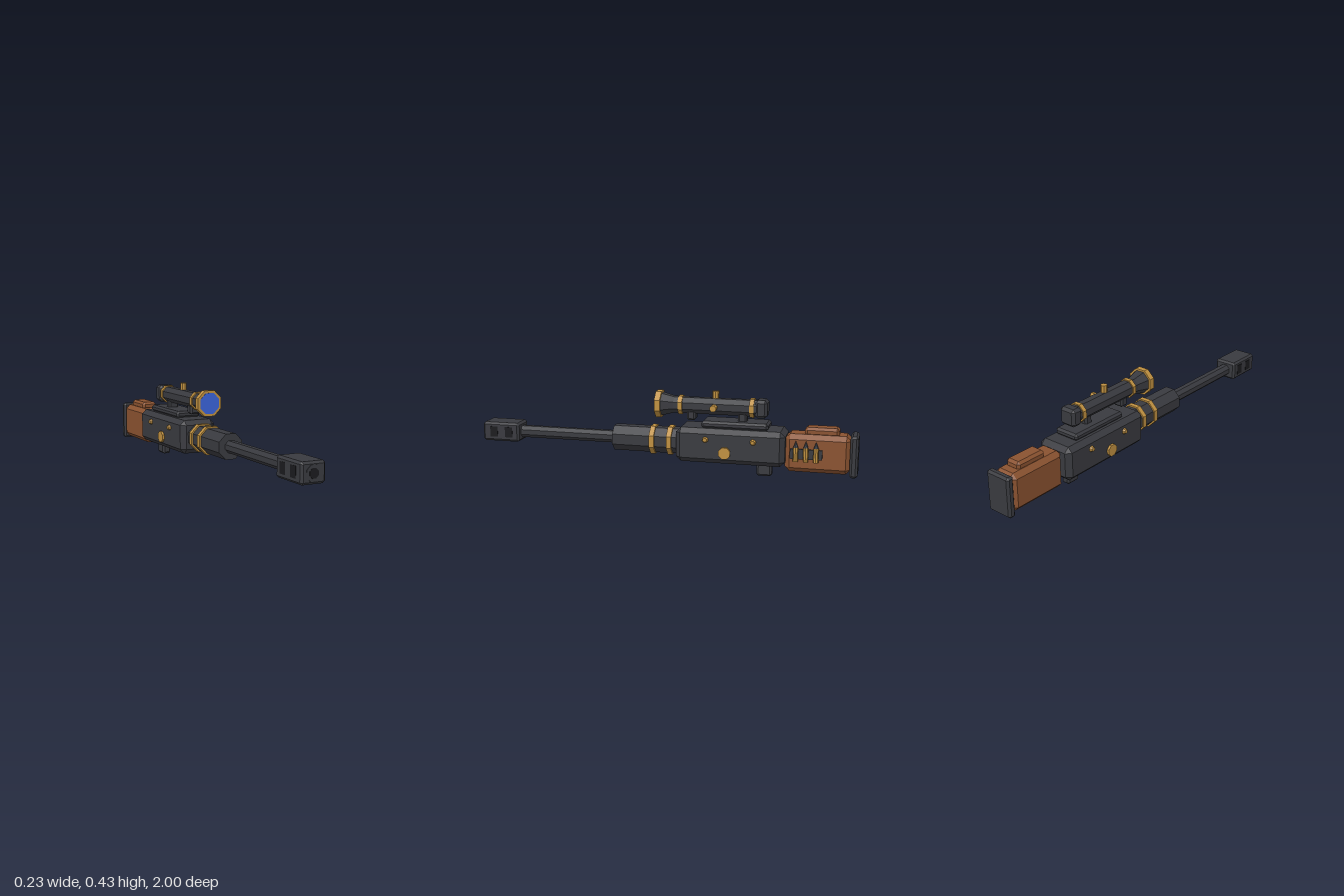
import * as THREE from 'three';
import { ConvexGeometry } from 'three/addons/geometries/ConvexGeometry.js';

const material = (color) => new THREE.MeshStandardMaterial({ color, flatShading: true, roughness: 0.8 });
const STEP = Math.PI / 8;

export function createModel() {
  const model = new THREE.Group();
  const dark = material(0x393a3f);
  const black = material(0x1b1b1e);
  const gold = material(0xbf9040);
  const wood = material(0x8a5230);
  const blue = material(0x3a63d8);
  const steel = material(0x4a4f58);

  function add(name, geometry, mat) {
    const mesh = new THREE.Mesh(geometry, mat);
    mesh.name = name;
    model.add(mesh);
    return mesh;
  }

  // Box with all edges cut at 45 degrees, given by its limits on each axis
  function block(name, mat, [x0, x1], [y0, y1], [z0, z1], c) {
    const half = [(x1 - x0) / 2, (y1 - y0) / 2, (z1 - z0) / 2];
    const points = [];
    for (const sx of [-1, 1]) for (const sy of [-1, 1]) for (const sz of [-1, 1]) {
      for (let axis = 0; axis < 3; axis++) {
        const [a, b, d] = half.map((h, i) => (i === axis ? h : h - c));
        points.push(new THREE.Vector3(sx * a, sy * b, sz * d));
      }
    }
    const mesh = add(name, new ConvexGeometry(points), mat);
    mesh.position.set((x0 + x1) / 2, (y0 + y1) / 2, (z0 + z1) / 2);
    return mesh;
  }

  // Octagonal prism along z, sized across its flats
  function octagon(name, mat, y, z0, z1, back, front = back) {
    const k = 1 / Math.cos(STEP);
    const g = new THREE.CylinderGeometry(front * k, back * k, z1 - z0, 8);
    g.rotateY(STEP).rotateX(Math.PI / 2).translate(0, y, (z0 + z1) / 2);
    return add(name, g, mat);
  }

  // Short stud pointing out along x on the given side
  function stud(name, side, x0, x1, y, z, rIn, rOut) {
    const g = new THREE.CylinderGeometry(rOut, rIn, x1 - x0, 8);
    g.rotateY(STEP).rotateZ(-side * Math.PI / 2).translate(side * (x0 + x1) / 2, y, z);
    return add(name, g, gold);
  }

  // Muzzle brake with side ports and bore
  const axisY = 0.158;
  block('muzzleBrake', dark, [-0.064, 0.064], [0.108, 0.21], [0.79, 0.997], 0.011);
  octagon('muzzleRim', dark, axisY, 0.95, 0.999, 0.038);
  octagon('bore', black, axisY, 0.95, 1.0, 0.023);
  for (const side of [-1, 1]) for (const z of [0.933, 0.848]) {
    const port = add('muzzlePort', new THREE.BoxGeometry(0.01, 0.056, 0.043), black);
    port.position.set(side * 0.0605, 0.16, z);
  }

  // Barrel and handguard
  octagon('barrel', dark, axisY, 0.24, 0.81, 0.031);
  octagon('handguard', dark, axisY, -0.1, 0.262, 0.065);
  for (const z of [-0.043, 0.049]) octagon('handguardRing', gold, axisY, z - 0.013, z + 0.013, 0.073);

  // Receiver, rail and magazine
  block('receiver', dark, [-0.1, 0.1], [0.068, 0.246], [-0.643, -0.085], 0.025);
  block('rail', dark, [-0.069, 0.069], [0.244, 0.28], [-0.555, -0.212], 0.011);
  block('magazine', dark, [-0.024, 0.024], [0, 0.085], [-0.572, -0.494], 0.01);
  for (const side of [-1, 1]) {
    stud('receiverButton', side, 0.09, 0.112, 0.128, -0.342, 0.032, 0.032);
    for (const z of [-0.242, -0.485]) stud('receiverRivet', side, 0.095, 0.114, 0.192, z, 0.018, 0.01);
  }

  // Stock, cheek rest and butt plate
  block('stock', wood, [-0.066, 0.066], [0.043, 0.236], [-0.965, -0.64], 0.024);
  block('cheekRest', wood, [-0.042, 0.042], [0.225, 0.27], [-0.905, -0.735], 0.013);
  block('buttPlate', dark, [-0.07, 0.07], [0.031, 0.241], [-1, -0.96], 0.011);

  // Cartridge holder on the left of the stock
  const holder = add('cartridgeHolder', new THREE.BoxGeometry(0.02, 0.05, 0.16), dark);
  holder.position.set(0.066, 0.14, -0.747);
  for (const z of [-0.697, -0.747, -0.797]) {
    const casing = add('cartridgeCase', new THREE.CylinderGeometry(0.013, 0.013, 0.072, 8), gold);
    casing.position.set(0.086, 0.141, z);
    const tip = add('cartridgeTip', new THREE.CylinderGeometry(0.001, 0.012, 0.032, 8), steel);
    tip.position.set(0.086, 0.193, z);
  }

  // Scope
  const scopeY = 0.348;
  octagon('scopeTube', dark, scopeY, -0.49, -0.055, 0.041);
  octagon('scopeBell', dark, scopeY, -0.065, 0.008, 0.04, 0.058);
  octagon('scopeRim', gold, scopeY, 0.005, 0.035, 0.067);
  octagon('lens', blue, scopeY, 0.02, 0.0365, 0.054);
  for (const z of [-0.095, -0.465]) octagon('scopeRing', gold, scopeY, z - 0.011, z + 0.011, 0.047);
  block('eyepiece', dark, [-0.046, 0.046], [scopeY - 0.046, scopeY + 0.046], [-0.545, -0.482], 0.014).visible = true;
  for (const z of [-0.152, -0.417]) block('scopeMount', dark, [-0.028, 0.028], [0.272, 0.325], [z - 0.023, z + 0.023], 0.009);

  // Scope adjustment knobs
  const topKnob = add('elevationKnob', new THREE.CylinderGeometry(0.017, 0.017, 0.05, 8), gold);
  topKnob.position.set(0, 0.402, -0.275);
  stud('windageKnob', 1, 0.03, 0.079, scopeY, -0.275, 0.017, 0.017);

  return model;
}
